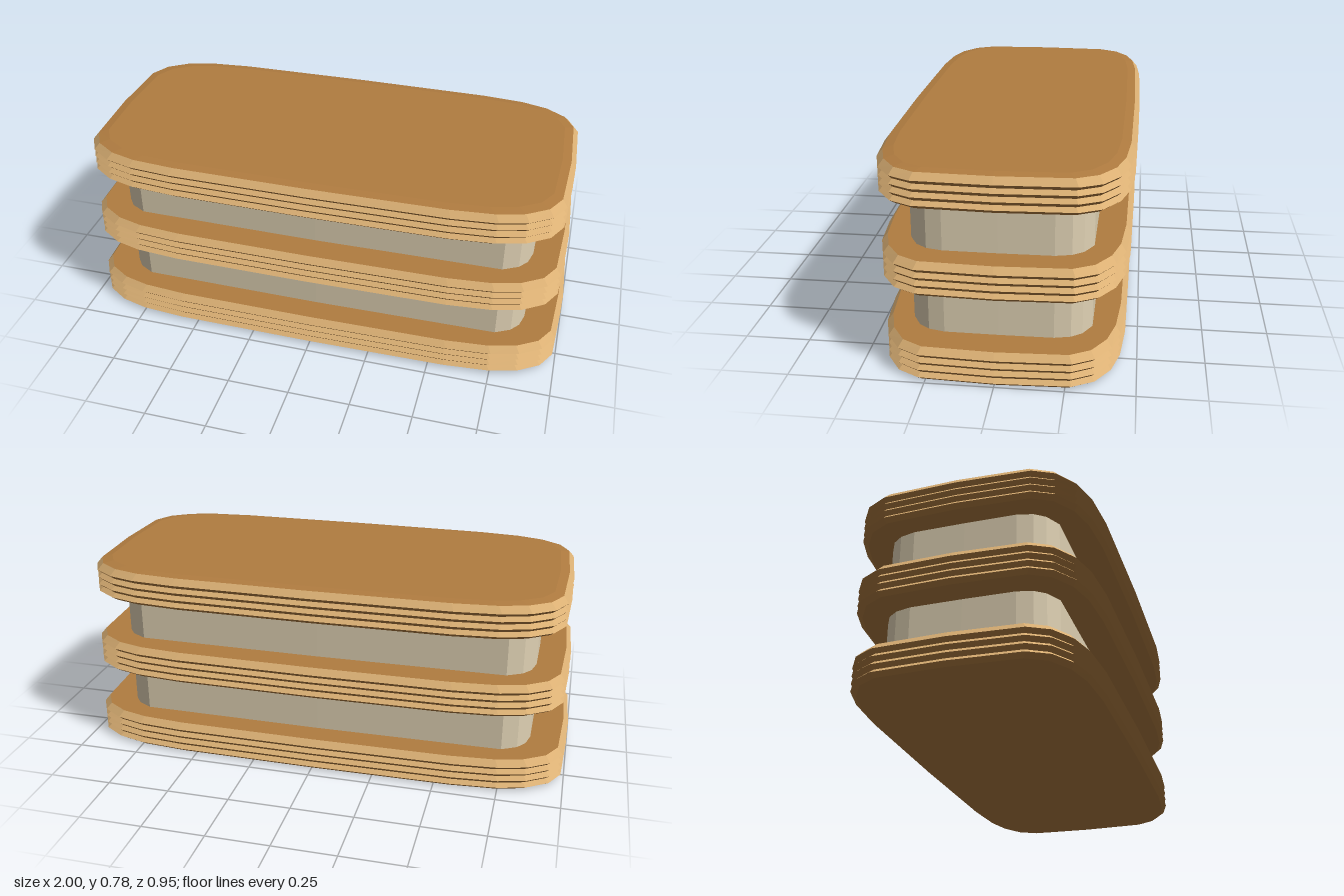
import * as THREE from 'three';

const material = (color) => new THREE.MeshStandardMaterial({ color, flatShading: true, roughness: 0.8 });

// Mirrors a quarter outline ([x, z] from +x round to +z) into a closed loop.
function mirrorOutline(quarter) {
  const q = quarter.slice(0, -1);
  const half = [...q, quarter.at(-1), ...q.slice(1).reverse().map(([x, z]) => [-x, z])];
  return [...half, ...[[-1, 0]].map(([s]) => [s * quarter[0][0], 0]), ...half.slice(1).reverse().map(([x, z]) => [x, -z])];
}

// Skins pairs of rings; each ring is { y, points }.
function bandGeometry(pairs, caps = []) {
  const pos = [];
  const put = (ring, i) => {
    const p = ring.points[i % ring.points.length];
    pos.push(p[0], ring.y, p[1]);
  };
  for (const [low, high] of pairs) {
    for (let i = 0; i < low.points.length; i++) {
      put(low, i); put(high, i); put(low, i + 1);
      put(low, i + 1); put(high, i); put(high, i + 1);
    }
  }
  for (const { ring, up } of caps) {
    for (let i = 0; i < ring.points.length; i++) {
      pos.push(0, ring.y, 0);
      put(ring, up ? i + 1 : i);
      put(ring, up ? i : i + 1);
    }
  }
  const geometry = new THREE.BufferGeometry();
  geometry.setAttribute('position', new THREE.Float32BufferAttribute(pos, 3));
  geometry.computeVertexNormals();
  return geometry;
}

// Rounded rectangle as fractions of the half width and half depth
const slabOutline = mirrorOutline([
  [1, 0], [0.988, 0.6], [0.945, 0.77], [0.86, 0.89], [0.75, 0.955], [0.57, 0.988], [0, 1],
]);
const coreOutline = mirrorOutline([
  [0.857, 0], [0.855, 0.2], [0.84, 0.26], [0.81, 0.3], [0.75, 0.333], [0, 0.34],
]);

export function createModel() {
  const model = new THREE.Group();
  const brown = material(0xb07c40);
  const tan = material(0xdbb074);
  const cream = material(0xe0d2b4);

  const add = (parent, name, geometry, mat) => {
    const mesh = new THREE.Mesh(geometry, mat);
    mesh.name = name;
    parent.add(mesh);
  };

  // Slab with four sharp ridges: brown undersides, tan upper slopes
  function addSlab(name, y, hx, hz, crowned) {
    const group = new THREE.Group();
    group.name = name;
    const ring = (dy, inset) => ({
      y: y + dy,
      points: slabOutline.map(([x, z]) => [x * (hx - inset), z * (hz - inset)]),
    });
    const under = [], over = [];
    let low = ring(0, 0.018);
    const bottom = low;
    for (let i = 0; i < 4; i++) {
      const last = i === 3;
      const peak = ring(0.015 + i * 0.03, 0);
      const next = ring(last ? 0.13 : 0.03 + i * 0.03, last ? 0.02 : 0.014);
      under.push([low, peak]);
      over.push([peak, next]);
      low = next;
    }
    const faces = [...under];
    // Shallow crown on the lid
    if (crowned) {
      const crown = ring(0.136, 0.055);
      faces.push([low, crown]);
      low = crown;
    }
    add(group, 'ridgeSlopes', bandGeometry(over), tan);
    add(group, 'slabFaces', bandGeometry(faces, [{ ring: bottom, up: false }, { ring: low, up: true }]), brown);
    model.add(group);
  }
  addSlab('bottomSlab', 0, 1.0, 0.458, false);
  addSlab('middleSlab', 0.324, 0.983, 0.467, false);
  addSlab('topSlab', 0.645, 0.967, 0.474, true);

  // Pale blocks between the slabs
  for (const [name, y0, y1] of [['lowerBlock', 0.12, 0.33], ['upperBlock', 0.445, 0.65]]) {
    const a = { y: y0, points: coreOutline }, b = { y: y1, points: coreOutline };
    add(model, name, bandGeometry([[a, b]], [{ ring: a, up: false }, { ring: b, up: true }]), cream);
  }
  return model;
}
